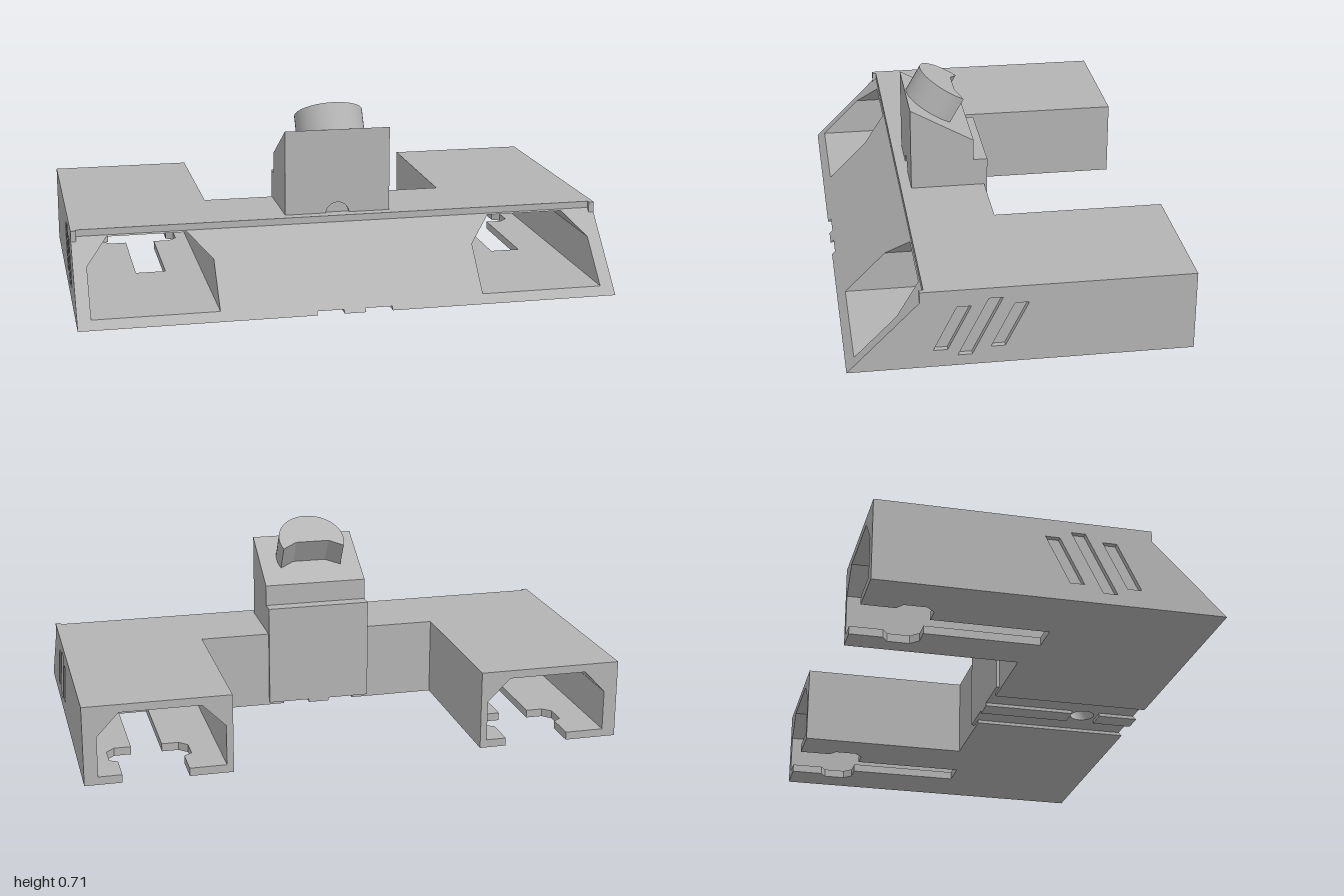
import * as THREE from 'three';
import { toCreasedNormals } from 'three/addons/utils/BufferGeometryUtils.js';

const toShape = (pts) => new THREE.Shape(pts.map(([a, b]) => new THREE.Vector2(a, b)));
const extrude = (shape, depth) =>
  new THREE.ExtrudeGeometry(shape, { depth, bevelEnabled: false, curveSegments: 16 });

// Prism along x from a (z, y) profile
function prismX(shape, x0, x1) {
  return extrude(shape, x1 - x0).rotateY(-Math.PI / 2).translate(x1, 0, 0);
}

// Prism along y from an (x, z) plan, with optional round hole
function prismY(plan, y0, y1, hole) {
  const shape = toShape(plan.map(([x, z]) => [x, -z]));
  if (hole) {
    const path = new THREE.Path();
    path.absarc(0, -hole.z, hole.r, 0, Math.PI * 2);
    shape.holes.push(path);
  }
  return extrude(shape, y1 - y0).rotateX(-Math.PI / 2).translate(0, y0, 0);
}

// Move every vertex by a rule, then recompute the face normals
function reshape(geometry, rule) {
  const p = geometry.attributes.position;
  const v = new THREE.Vector3();
  for (let i = 0; i < p.count; i++) {
    rule(v.fromBufferAttribute(p, i));
    p.setXYZ(i, v.x, v.y, v.z);
  }
  geometry.computeVertexNormals();
  return geometry;
}

const FRONT = 0.61, BACK = -0.61, DECK = 0.27, TOP = 0.295, R = 0.045;
const slopeFront = (v) => { if (v.z > 0.59) v.z = FRONT - v.y; };
const boreZ = (y) => 0.41 - 0.577 * y; // the bore leans back as it rises

export function createModel() {
  const group = new THREE.Group();
  const grey = new THREE.MeshStandardMaterial({ color: 0xb4b4b4 });
  grey.name = 'grey';
  const add = (name, geometry) => {
    const mesh = new THREE.Mesh(geometry, grey);
    mesh.name = name;
    group.add(mesh);
    return mesh;
  };
  const rect = (x0, x1, z0, z1) => [[x0, z0], [x1, z0], [x1, z1], [x0, z1]];

  for (const s of [1, -1]) {
    const side = s > 0 ? 'left' : 'right';

    // Hollow arm: walls and chamfered ceiling, cut at 45 degrees in front
    const section = [[0.465, 0.03], [0.49, 0.03], [0.49, 0.18], [0.575, 0.265], [0.87, 0.265],
      [0.95, 0.18], [0.95, 0.03], [0.98, 0.03], [0.98, DECK], [0.465, DECK]];
    const arm = extrude(toShape(section.map(([x, y]) => [s * x, y])), FRONT - BACK).translate(0, 0, BACK);
    add(side + 'Arm', reshape(arm, slopeFront));

    // Arm floor with a stepped slot open at the back
    const c = s > 0 ? 0.745 : -0.685;
    const half = [[0.12, BACK], [0.12, -0.49], [0.15, -0.47], [0.15, -0.39], [0.12, -0.36],
      [0.057, -0.36], [0.057, 0.06]];
    const slot = [
      ...half.map(([w, z]) => [c - w, z]),
      ...half.map(([w, z]) => [c + w, z]).reverse(),
    ];
    const [lo, hi] = s > 0 ? [0.465, 0.98] : [-0.98, -0.465];
    const floorPlan = [[lo, BACK], ...slot, [hi, BACK], [hi, FRONT], [lo, FRONT]];
    add(side + 'ArmFloor', reshape(prismY(floorPlan, 0, 0.03), slopeFront));

    // Outer side panel with three slanted vent recesses
    const panel = toShape([[BACK, 0], [FRONT, 0], [0.355, 0.255], [0.355, TOP], [BACK, TOP]]);
    for (const [z, y0, y1] of [[0.31, 0.065, 0.23], [0.225, 0.04, 0.255], [0.11, 0.065, 0.23]]) {
      const run = (y1 - y0) * 0.5;
      panel.holes.push(toShape([[z, y0], [z - 0.05, y0], [z - 0.05 - run, y1], [z - run, y1]]));
    }
    const [p0, p1] = s > 0 ? [0.98, 1] : [-1, -0.98];
    add(side + 'SidePanel', prismX(panel, p0, p1));

    // Underside strip outside the groove
    const [u0, u1] = s > 0 ? [0.14, 0.465] : [-0.465, -0.14];
    add(side + 'BaseStrip', reshape(prismY(rect(u0, u1, 0.02, FRONT), 0, 0.012), slopeFront));
  }

  // Bridge between the arms, pierced by the leaning bore
  const bridge = prismY(rect(-0.465, 0.465, 0.02, FRONT), 0.012, DECK, { z: 0.41, r: R });
  add('bridge', reshape(bridge, (v) => {
    if (v.z > 0.59) v.z = FRONT - v.y;
    else if (v.z > 0.1) v.z += boreZ(v.y) - 0.41;
  }));
  add('centreStripRear', prismY(rect(-0.04, 0.04, 0.008, 0.35), 0, 0.012));
  add('centreStripFront', reshape(prismY(rect(-0.04, 0.04, 0.46, FRONT), 0, 0.012), slopeFront));

  // U-shaped roof
  const roofPlan = [[-0.98, BACK], [-0.465, BACK], [-0.465, 0.02], [0.465, 0.02], [0.465, BACK],
    [0.98, BACK], [0.98, 0.34], [-0.98, 0.34]];
  add('roof', prismY(roofPlan, DECK, TOP, { z: boreZ(TOP), r: R }));

  // Tower with a sloping top
  const slopeY = (z) => 0.48 + 0.5625 * (z - 0.06);
  const z0 = boreZ(TOP);
  const tower = prismY(rect(-0.2, 0.2, 0.06, 0.288), TOP, 0.6, { z: z0, r: R });
  add('tower', reshape(tower, (v) => {
    if (v.y < 0.5) return;
    if (v.z > 0.061 && v.z < 0.2875) v.z = (v.z - 0.0873) / 1.3246;
    v.y = slopeY(v.z);
  }));

  // Tower front plate with a half-round notch at its foot
  const face = new THREE.Shape();
  face.moveTo(-0.2, TOP);
  face.lineTo(-R, TOP);
  face.absarc(0, TOP - 0.005, R, Math.PI - 0.1, 0.1, true);
  face.lineTo(0.2, TOP);
  face.lineTo(0.2, 0.6);
  face.lineTo(-0.2, 0.6);
  add('towerFront', reshape(extrude(face, 0.012).translate(0, 0, 0.288), (v) => {
    if (v.y > 0.5) v.y = slopeY(v.z);
  }));

  // Rear pillar and the step behind the tower
  add('rearPillar', prismX(toShape([[0.008, 0.012], [0.02, 0.012], [0.02, TOP], [0.06, TOP],
    [0.06, 0.4], [0.008, 0.4]]), -0.2, 0.2));

  // Crescent cradle standing square to the sloping top
  const r = 0.13, a = Math.asin(0.047 / r);
  const crescent = new THREE.Shape();
  crescent.absarc(0, 0, r, a, Math.PI - a, true);
  crescent.lineTo(-0.065, -0.015 + 0.03);
  crescent.lineTo(0.065, -0.015 + 0.03);
  crescent.closePath();
  const cradle = add('cradle', toCreasedNormals(extrude(crescent, 0.11).rotateX(-Math.PI / 2), 0.5));
  cradle.rotation.x = -Math.PI / 6;
  cradle.position.set(0, 0.546, 0.183);

  return group;
}
